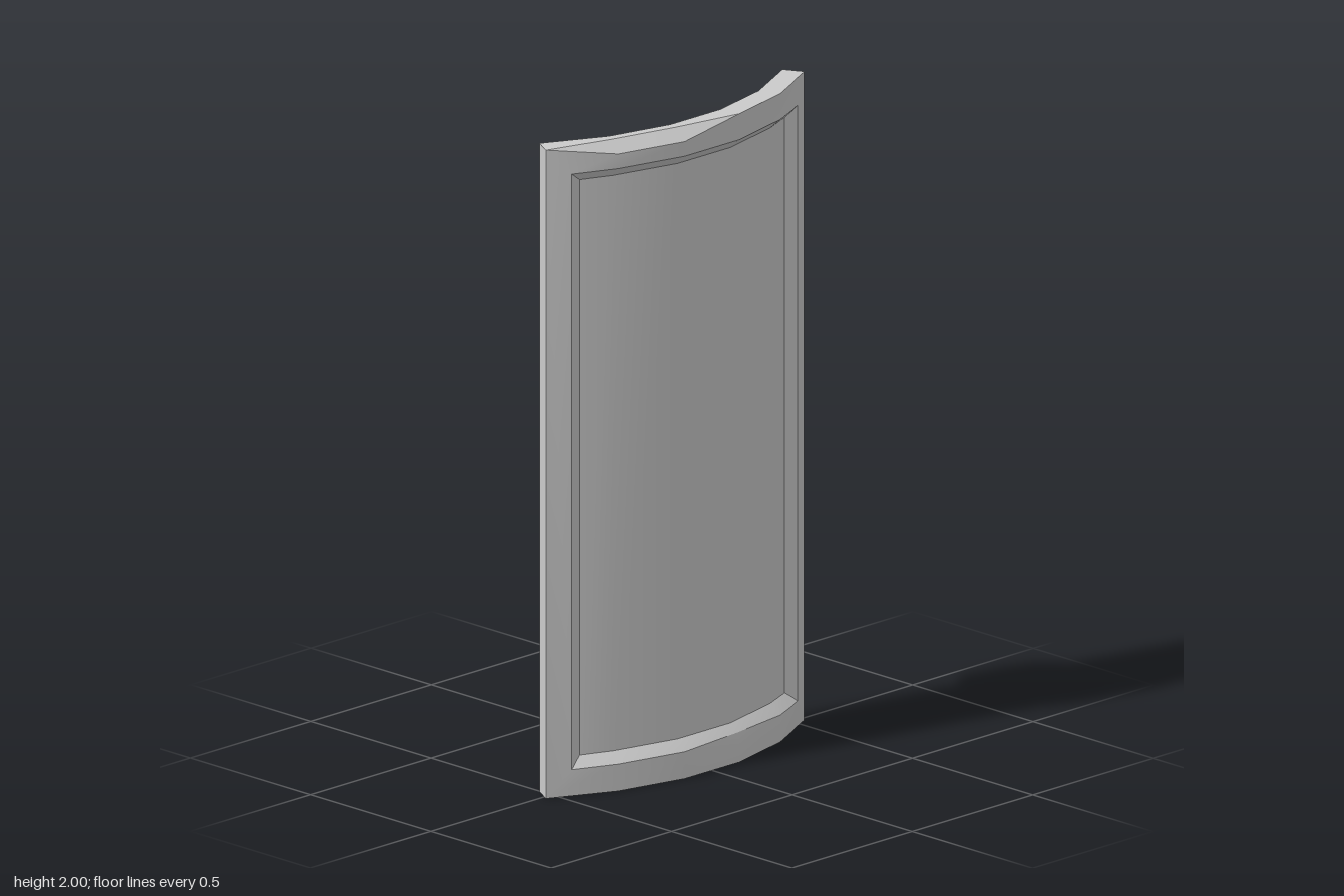
import * as THREE from 'three';
import { toCreasedNormals } from 'three/addons/utils/BufferGeometryUtils.js';

const material = new THREE.MeshStandardMaterial({ color: 0xcccccc });

// Loop of 12 points round the curved plate: bottom edge left to right, top edge back.
// half lists [x, z] from the middle out to the side.
function makeLoop(half, bottom, top) {
  const right = half.map(([x, z]) => [x, z]);
  const left = half.map(([x, z]) => [-x, z]).reverse();
  const row = [...left, ...right];
  return [
    ...row.map(([x, z]) => new THREE.Vector3(x, bottom, z)),
    ...row.map(([x, z]) => new THREE.Vector3(x, top, z)).reverse(),
  ];
}

function createPlate() {
  const front = [[0.113, 0.167], [0.335, 0.114], [0.537, 0.015]];
  const back = makeLoop([[0.103, 0.098], [0.31, 0.05], [0.504, -0.046]], 0, 2);
  const rim = makeLoop(front, 0, 2);
  const face = makeLoop(front, 0, 2);
  const lip = makeLoop([[0.113, 0.167], [0.335, 0.114], [0.47, 0.055]], 0.083, 1.92);
  const bevel = lip.map((p) => p.clone());
  const floor = makeLoop([[0.11, 0.135], [0.325, 0.083], [0.425, 0.042]], 0.115, 1.89);

  // Chip worn into the top front edge
  for (const i of [9, 10]) face[i].y = 1.965;
  rim[9].set(-0.109, 2, 0.128);
  rim[10].set(-0.322, 2, 0.078);
  // Chip worn into the lower lip of the recess
  lip[3].y = 0.058;
  bevel[3].set(0.112, 0.09, 0.16);

  const position = [];
  const tri = (a, b, c) => {
    const area = b.clone().sub(a).cross(c.clone().sub(a)).length();
    if (area > 1e-7) for (const p of [a, b, c]) position.push(p.x, p.y, p.z);
  };
  const quad = (a, b, c, d) => { tri(a, b, c); tri(a, c, d); };

  // Edge, frame face and recess bevel join one loop to the next
  const loops = [back, rim, face, lip, bevel, floor];
  for (let k = 0; k < loops.length - 1; k++) {
    const A = loops[k], B = loops[k + 1];
    for (let i = 0; i < 12; i++) {
      const j = (i + 1) % 12;
      quad(A[i], A[j], B[j], B[i]);
    }
  }
  // Recessed panel and back surface
  for (let i = 0; i < 5; i++) {
    quad(floor[i], floor[i + 1], floor[10 - i], floor[11 - i]);
    quad(back[i + 1], back[i], back[11 - i], back[10 - i]);
  }

  const geometry = new THREE.BufferGeometry();
  geometry.setAttribute('position', new THREE.Float32BufferAttribute(position, 3));
  const plate = new THREE.Mesh(toCreasedNormals(geometry, 0.4), material);
  plate.name = 'shieldPlate';
  return plate;
}

// Bent grip: two legs into the plate, rounded corners, straight bar
function createHandle(x, name) {
  const v = (y, z) => new THREE.Vector3(x, y, z);
  const path = new THREE.CurvePath();
  path.add(new THREE.LineCurve3(v(1.39, 0.075), v(1.39, -0.035)));
  path.add(new THREE.QuadraticBezierCurve3(v(1.39, -0.035), v(1.385, -0.124), v(1.29, -0.126)));
  path.add(new THREE.LineCurve3(v(1.29, -0.126), v(1.13, -0.126)));
  path.add(new THREE.QuadraticBezierCurve3(v(1.13, -0.126), v(1.045, -0.124), v(1.04, -0.035)));
  path.add(new THREE.LineCurve3(v(1.04, -0.035), v(1.04, 0.075)));
  const handle = new THREE.Mesh(new THREE.TubeGeometry(path, 24, 0.042, 8), material);
  handle.name = name;
  return handle;
}

export function createModel() {
  const shield = new THREE.Group();
  shield.name = 'shield';
  shield.add(
    createPlate(),
    createHandle(0.288, 'leftHandle'),
    createHandle(-0.288, 'rightHandle'),
  );
  return shield;
}
